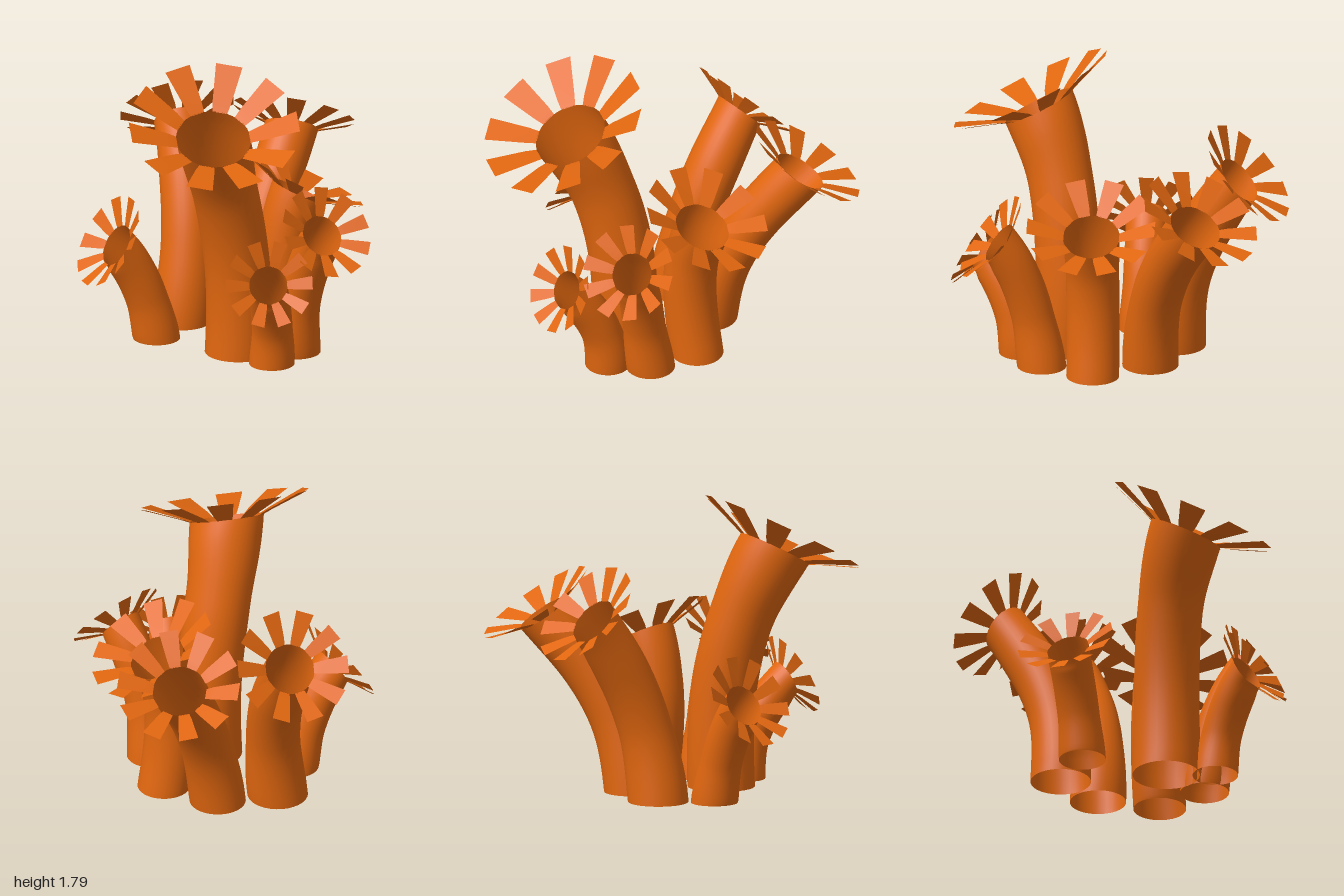
import * as THREE from 'three';

const V = (x, y, z) => new THREE.Vector3(x, y, z);
const material = new THREE.MeshStandardMaterial({ color: 0xe0660f, side: THREE.DoubleSide });
const SIDES = 32, RINGS = 24, PETALS = 10;

// base point, radii at foot, waist and rim, rim centre, rim direction, petal phase in steps,
// lean of the foot in x and z, stalk direction just below the rim
const polyps = [
  { name: 'tallFront', base: [-0.13, 0.015, 0.3], radii: [0.2, 0.194, 0.222], rim: [-0.38, 1.45, 0.5], dir: [-0.14, 0.87, 0.45], phase: -0.02, lean: [0.06, 0], tip: [-0.32, 0.85, 0.42] },
  { name: 'backLeft', base: [0.115, 0.015, -0.2], radii: [0.167, 0.153, 0.16], rim: [0.565, 1.07, -0.5], dir: [0.36, 0.84, -0.43], phase: -0.2, lean: [0.13, 0], tip: [0.48, 0.75, -0.44] },
  { name: 'back', base: [-0.225, 0.015, -0.325], radii: [0.18, 0.16, 0.15], rim: [-0.07, 1.13, -0.715], dir: [0.15, 0.67, -0.72], phase: 0.2, lean: [0.13, 0], tip: [0.08, 0.82, -0.58] },
  { name: 'left', base: [0.285, 0, 0.13], radii: [0.157, 0.158, 0.168], rim: [0.33, 0.9, 0.135], dir: [0.46, 0.89, 0], phase: 0, lean: [-0.2, 0], tip: [0.4, 0.9, 0] },
  { name: 'right', base: [-0.48, 0.015, -0.11], radii: [0.14, 0.125, 0.127], rim: [-0.735, 0.63, -0.12], dir: [-0.85, 0.53, 0], phase: 0.5, lean: [-0.18, 0], tip: [-0.6, 0.8, 0] },
  { name: 'frontLeft', base: [0.18, 0.015, 0.44], radii: [0.146, 0.126, 0.126], rim: [0.24, 0.815, 0.69], dir: [0.13, 0.62, 0.77], phase: 0, lean: [-0.07, 0.14], tip: [0.12, 0.84, 0.53] },
  { name: 'front', base: [-0.035, 0.015, 0.575], radii: [0.135, 0.12, 0.114], rim: [-0.16, 0.6, 0.81], dir: [-0.28, 0.45, 0.85], phase: 0.5, lean: [0.03, 0.08], tip: [-0.28, 0.75, 0.6] },
];

// Two axes across direction n: u leans to the back, v to the left
function frame(n) {
  const u = V(0, 0, -1).addScaledVector(n, n.z).normalize();
  return { u, v: u.clone().cross(n) };
}

function meshFrom(name, positions, index) {
  const geometry = new THREE.BufferGeometry();
  geometry.setAttribute('position', new THREE.Float32BufferAttribute(positions, 3));
  geometry.setIndex(index);
  geometry.computeVertexNormals();
  const mesh = new THREE.Mesh(geometry, material);
  mesh.name = name;
  return mesh;
}

// Open tube along a curve, flat at the foot, slightly waisted, turning square to the rim
function makeStalk({ base, radii, rim, lean, tip }, n) {
  const start = V(...base), end = V(...rim);
  const length = start.distanceTo(end);
  const curve = new THREE.CubicBezierCurve3(
    start, start.clone().addScaledVector(V(lean[0], 1, lean[1]), length * 0.44),
    end.clone().addScaledVector(V(...tip).normalize(), -length * 0.32), end);
  const [foot, waist, top] = radii;
  const positions = [], index = [];
  for (let j = 0; j <= RINGS; j++) {
    const t = j / RINGS;
    const across = j === 0 ? V(0, 1, 0)
      : curve.getTangent(t).lerp(n, THREE.MathUtils.smoothstep(t, 0.75, 1)).normalize();
    const { u, v } = frame(across);
    const centre = curve.getPoint(t);
    const r = waist + (foot - waist) * (1 - THREE.MathUtils.smoothstep(t, 0, 0.35))
      + (top - waist) * THREE.MathUtils.smoothstep(t, 0.65, 1);
    for (let i = 0; i < SIDES; i++) {
      const a = (i / SIDES) * Math.PI * 2;
      const p = centre.clone().addScaledVector(u, r * Math.cos(a)).addScaledVector(v, r * Math.sin(a));
      positions.push(p.x, p.y, p.z);
      if (j < RINGS) {
        const k = j * SIDES + i, next = j * SIDES + ((i + 1) % SIDES);
        index.push(k, k + SIDES, next, next, k + SIDES, next + SIDES);
      }
    }
  }
  return meshFrom('stalk', positions, index);
}

// Flat petals that widen outward and rise gently from the rim
function makePetals({ rim, radii, phase }, n) {
  const { u, v } = frame(n), centre = V(...rim), size = radii[2];
  const group = new THREE.Group();
  group.name = 'petals';
  // distance out, height and half width, in rim radii
  const sections = [[0.98, -0.01, 0.2], [1.25, 0.11, 0.25], [2.26, 0.5, 0.36]];
  for (let i = 0; i < PETALS; i++) {
    const a = ((i + phase) / PETALS) * Math.PI * 2;
    const out = u.clone().multiplyScalar(Math.cos(a)).addScaledVector(v, Math.sin(a));
    const across = out.clone().cross(n);
    const positions = [], index = [];
    sections.forEach(([d, h, w], j) => {
      for (const s of [-1, 1]) {
        const p = centre.clone().addScaledVector(out, d * size)
          .addScaledVector(n, h * size).addScaledVector(across, s * w * size);
        positions.push(p.x, p.y, p.z);
      }
      const k = j * 2;
      if (j < sections.length - 1) index.push(k, k + 1, k + 2, k + 1, k + 3, k + 2);
    });
    group.add(meshFrom('petal', positions, index));
  }
  return group;
}

export function createModel() {
  const model = new THREE.Group();
  model.name = 'tubePolypCluster';
  for (const polyp of polyps) {
    const n = V(...polyp.dir).normalize();
    const group = new THREE.Group();
    group.name = polyp.name + 'Polyp';
    group.add(makeStalk(polyp, n), makePetals(polyp, n));
    model.add(group);
  }
  return model;
}
